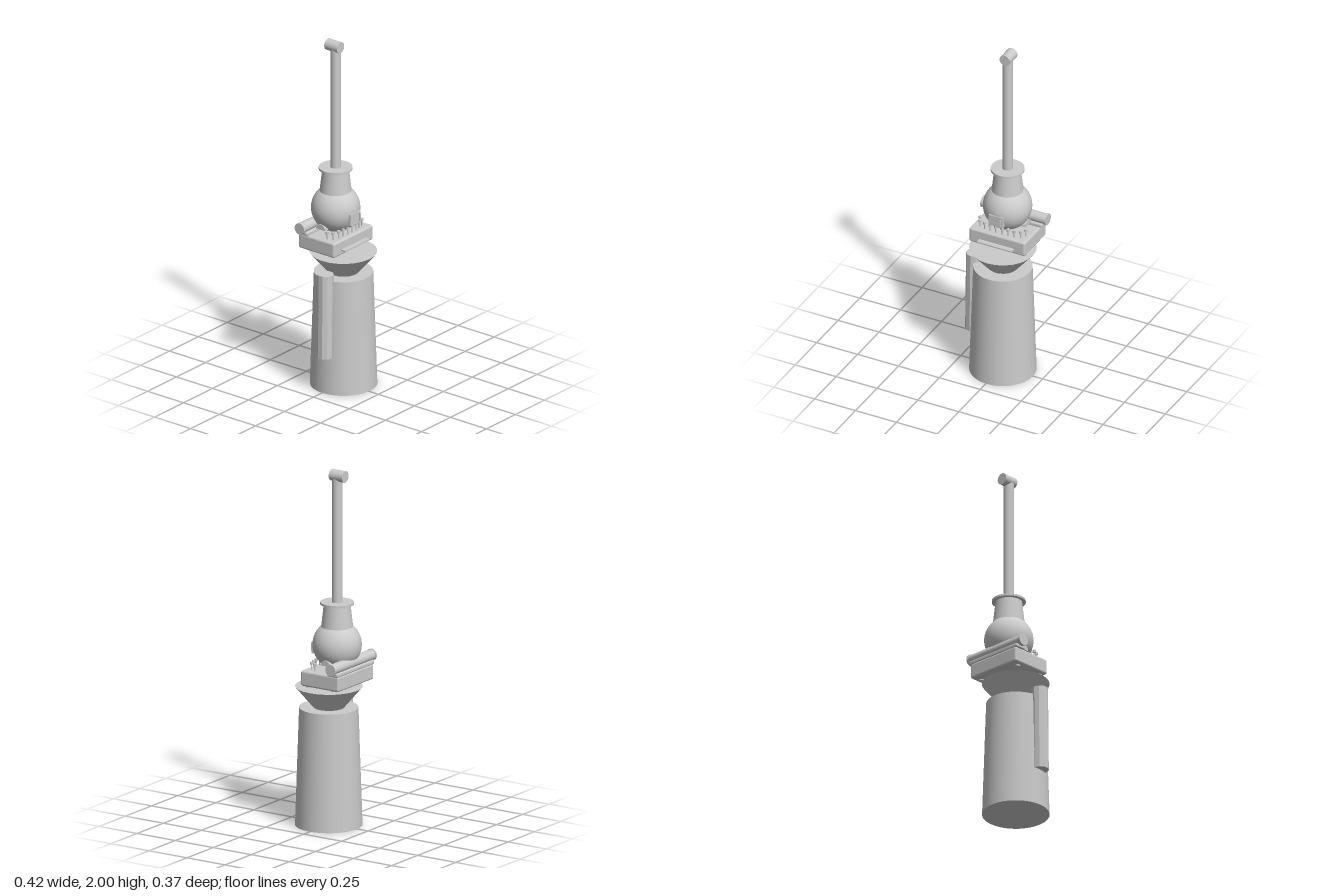
import * as THREE from 'three';
import { RoundedBoxGeometry } from 'three/addons/geometries/RoundedBoxGeometry.js';

const CX = 0.008; // shared axis of the stacked parts
const CZ = -0.053; // axis of the globe and stem

export function createModel() {
  const group = new THREE.Group();
  const smooth = new THREE.MeshStandardMaterial({ color: 0xcccccc });
  const faceted = new THREE.MeshStandardMaterial({ color: 0xcccccc, flatShading: true });

  function add(name, geometry, x, y, z, material = smooth) {
    const mesh = new THREE.Mesh(geometry, material);
    mesh.name = name;
    mesh.position.set(x, y, z);
    group.add(mesh);
    return mesh;
  }
  // upright cylinder or cone given by its bottom and top heights
  function column(name, rBottom, rTop, y0, y1, x, z, sides = 40, material = smooth) {
    return add(name, new THREE.CylinderGeometry(rTop, rBottom, y1 - y0, sides), x, (y0 + y1) / 2, z, material);
  }
  function box(name, x0, x1, y0, y1, z0, z1, r) {
    const g = r
      ? new RoundedBoxGeometry(x1 - x0, y1 - y0, z1 - z0, 3, r)
      : new THREE.BoxGeometry(x1 - x0, y1 - y0, z1 - z0);
    return add(name, g, (x0 + x1) / 2, (y0 + y1) / 2, (z0 + z1) / 2);
  }
  // cylinder lying along x
  function bar(name, r, x0, x1, y, z) {
    const mesh = add(name, new THREE.CylinderGeometry(r, r, x1 - x0, 32), (x0 + x1) / 2, y, z);
    mesh.rotation.z = Math.PI / 2;
    return mesh;
  }

  // Base, side tube and funnel
  column('base', 0.183, 0.161, 0, 0.66, CX, 0.002, 48);
  const tube = column('sideTube', 0.045, 0.045, 0.215, 0.70, -0.164, 0.013, 10, faceted);
  tube.rotation.z = -0.012;
  column('funnel', 0.08, 0.184, 0.655, 0.778, CX, 0.001, 24, faceted);

  // Body box with feet and front shelf
  box('bodyBox', -0.163, 0.178, 0.805, 0.892, -0.178, 0.072, 0.012);
  for (const x of [-0.128, 0.144]) {
    for (const z of [0.04, -0.125]) column('foot', 0.014, 0.014, 0.797, 0.807, x, z, 16);
  }
  column('drain', 0.008, 0.008, 0.79, 0.807, CX, 0, 16);
  box('frontShelf', -0.10, 0.113, 0.831, 0.839, 0.07, 0.102);

  // Rear tray carrying the roller
  box('rollerTray', -0.17, 0.186, 0.888, 0.912, -0.178, -0.108, 0.008);
  bar('roller', 0.03, -0.185, 0.202, 0.932, -0.145);
  bar('rollerCap', 0.033, -0.191, -0.181, 0.932, -0.145);
  bar('rollerCap', 0.033, 0.197, 0.207, 0.932, -0.145);

  // Pegs curving around the front of the globe
  const pegs = [[0.138, 0], [0.124, 0.03], [0.09, 0.04], [0.055, 0.045], [0.02, 0.046]];
  for (const side of [-1, 1]) {
    for (const [dx, z] of pegs) {
      column('pegStem', 0.004, 0.004, 0.888, 0.925, CX + side * dx, z, 12);
      column('pegHead', 0.0095, 0.0095, 0.922, 0.936, CX + side * dx, z, 16);
    }
  }

  // Globe with arched side ports, hatch and handle
  const globe = add('globe', new THREE.SphereGeometry(0.134, 40, 28), CX, 1.02, CZ);
  globe.rotation.y = Math.PI / 2;
  const arch = new THREE.Shape().absarc(0, 0, 0.031, 0, Math.PI).closePath();
  const archGeometry = new THREE.ExtrudeGeometry(arch, { depth: 0.244, bevelEnabled: false, curveSegments: 16 });
  add('sidePorts', archGeometry.translate(0, 0, -0.122), CX, 0.925, -0.06).rotation.y = Math.PI / 2;
  box('hatch', -0.035, 0.05, 0.958, 1.022, 0.045, 0.085);
  column('hatchHandle', 0.004, 0.004, 0.97, 1.012, 0.039, 0.094, 12);
  for (const y of [0.976, 1.006]) box('handleMount', 0.036, 0.042, y - 0.003, y + 0.003, 0.083, 0.095);

  // Neck, collar and stem with its cross cylinder
  column('neck', 0.088, 0.072, 1.11, 1.25, CX, CZ);
  column('collar', 0.092, 0.092, 1.247, 1.259, CX, CZ);
  column('stem', 0.029, 0.029, 1.255, 1.968, CX, CZ, 32);
  const head = add('stemHead', new THREE.CylinderGeometry(0.032, 0.032, 0.088, 32), CX, 1.968, -0.063);
  head.rotation.x = Math.PI / 2;

  return group;
}
